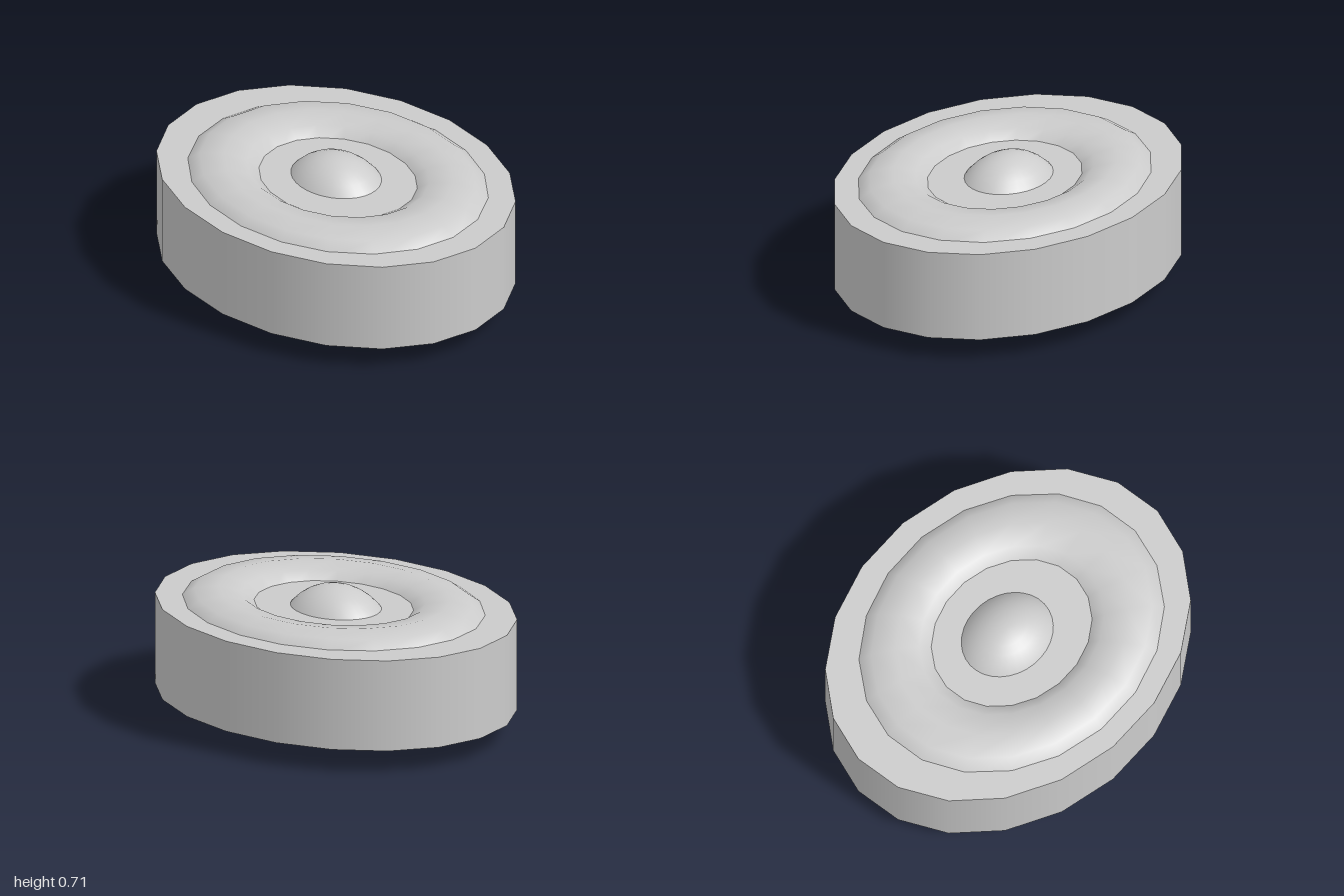
import * as THREE from 'three';

export function createModel() {
  const model = new THREE.Group();
  const material = new THREE.MeshStandardMaterial({ color: 0xcccccc });

  function add(name, geometry, x, y, z) {
    const mesh = new THREE.Mesh(geometry, material);
    mesh.name = name;
    mesh.position.set(x, y, z);
    model.add(mesh);
  }

  // Oval drum with 20 smooth-shaded sides
  add('drum', new THREE.CylinderGeometry(1, 1, 0.475, 20).scale(1, 1, 0.796), 0, 0.3575, 0);

  // Flattened oval ring, half sunk into the drum's top
  const ring = new THREE.TorusGeometry(0.63, 0.26, 12, 20)
    .rotateX(-Math.PI / 2)
    .scale(1, 0.6, 0.826);
  add('raisedRing', ring, 0.02, 0.499, 0.005);

  // Central ball showing above and below the drum
  const ball = new THREE.SphereGeometry(1, 32, 20).scale(0.34, 0.354, 0.283);
  add('centreBall', ball, -0.002, 0.354, -0.003);

  return model;
}
